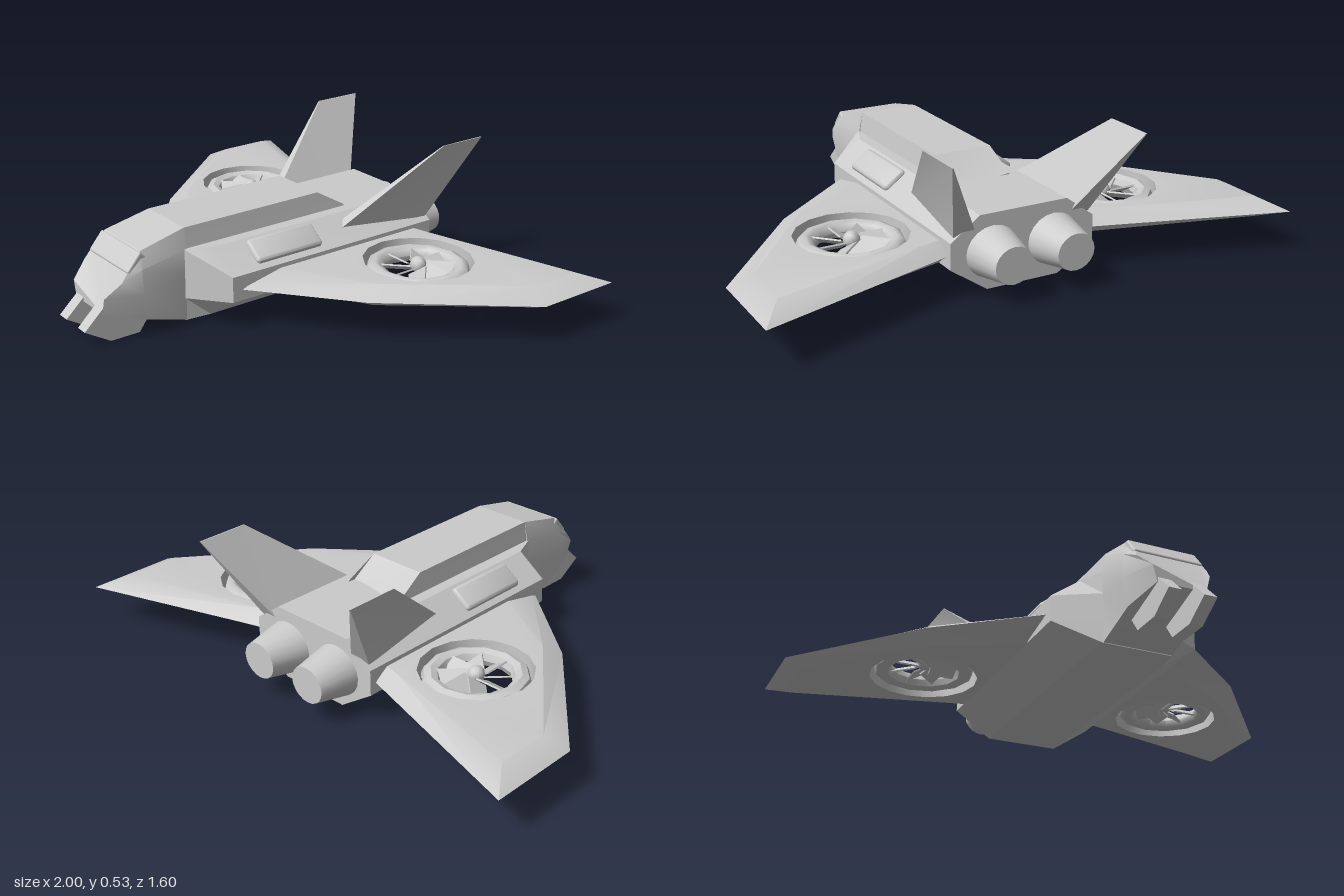
import * as THREE from 'three';
import { mergeGeometries, toCreasedNormals } from 'three/addons/utils/BufferGeometryUtils.js';
import { RoundedBoxGeometry } from 'three/addons/geometries/RoundedBoxGeometry.js';

const material = new THREE.MeshStandardMaterial({ color: 0xcccccc });

// Skin through rings of [x, y, z] points, with optional end caps
function loft(rings, capped = true) {
  const n = rings[0].length, index = [], last = (rings.length - 1) * n;
  for (let i = 0; i < rings.length - 1; i++) {
    for (let j = 0; j < n; j++) {
      const a = i * n + j, b = i * n + (j + 1) % n;
      index.push(a, b, b + n, a, b + n, a + n);
    }
  }
  if (capped) for (let j = 1; j < n - 1; j++) index.push(0, j + 1, j, last, last + j, last + j + 1);
  const geo = new THREE.BufferGeometry();
  geo.setAttribute('position', new THREE.Float32BufferAttribute(rings.flat(2), 3));
  geo.setIndex(index);
  return geo;
}

// Complete a half section, listed from bottom to top, with its mirror image
const section = half => [...half, ...half.map(([x, y, z]) => [-x, y, z]).reverse()];

// Keep positions only and recompute normals with sharp creases
function finish(geo, crease = 0.5) {
  const flat = geo.index ? geo.toNonIndexed() : geo.clone();
  flat.deleteAttribute('uv');
  flat.deleteAttribute('normal');
  return toCreasedNormals(flat, crease);
}

// Reflect across x = 0, reversing the corner order
function mirror(geo) {
  const out = geo.clone().scale(-1, 1, 1), p = out.attributes.position;
  const a = new THREE.Vector3(), b = new THREE.Vector3();
  for (let i = 0; i < p.count; i += 3) {
    a.fromBufferAttribute(p, i + 1);
    b.fromBufferAttribute(p, i + 2);
    p.setXYZ(i + 1, b.x, b.y, b.z);
    p.setXYZ(i + 2, a.x, a.y, a.z);
  }
  return finish(out);
}

function bodyGeometry() {
  const hull = z => section([[0.14, 0.015, z], [0.28, 0.11, z], [0.28, 0.205, z], [0.17, 0.285, z]]);
  const front = section([0.015, 0.1, 0.2, 0.285].map(y => [0.13, y, 0.42]));
  return loft([hull(-0.6), hull(0.32), front]);
}

function noseGeometry() {
  return loft([
    section([[0.13, 0.015, 0.41], [0.13, 0.19, 0.41], [0.13, 0.285, 0.41], [0.115, 0.36, 0.41]]),
    section([[0.13, 0.07, 0.6], [0.15, 0.17, 0.6], [0.145, 0.26, 0.6], [0.12, 0.32, 0.59]]),
    section([[0.09, 0.11, 0.73], [0.105, 0.17, 0.73], [0.13, 0.225, 0.67], [0.125, 0.265, 0.64]]),
  ]);
}

function spineGeometry() {
  const rib = (z, y, zLow = z) => section([[0.13, 0.26, zLow], [0.125, 0.29, zLow], [0.115, y, z]]);
  return loft([rib(-0.18, 0.36, -0.3), rib(0.41, 0.36)]);
}

const fan = { x: 0.51, z: -0.33, hole: 0.2 };

// Wing with thin edges, a flat middle and a round duct opening
function wingGeometry() {
  const edge = [[0.2, 0.345], [0.62, 0], [1, -0.46], [1, -0.8], [0.36, -0.6], [0.2, -0.55]];
  const inset = [[0.2, 0.16], [0.58, -0.06], [0.92, -0.49], [0.92, -0.69], [0.36, -0.54], [0.2, -0.5]];
  const hole = Array.from({ length: 16 }, (_, i) => {
    const a = i / 16 * Math.PI * 2;
    return [fan.x + fan.hole * Math.cos(a), fan.z + fan.hole * Math.sin(a)];
  });
  const at = (points, y) => points.map(([x, z]) => [x, y, z]);
  const face = (sign, y) => {
    const flat = points => points.map(([x, z]) => new THREE.Vector2(x, -sign * z));
    const shape = new THREE.Shape(flat(inset));
    shape.holes.push(new THREE.Path(flat(hole)));
    return new THREE.ShapeGeometry(shape).rotateX(-sign * Math.PI / 2).translate(0, y, 0);
  };
  const parts = [
    face(1, 0.19), face(-1, 0.11),
    loft([at(inset, 0.11), at(edge, 0.15), at(inset, 0.19)], false),
    loft([at(hole, 0.11), at(hole, 0.19)], false),
  ];
  return mergeGeometries(parts.map(part => finish(part)));
}

function finGeometry() {
  return loft([
    [[0.165, 0.22, -0.18], [0.21, 0.22, -0.18], [0.265, 0.22, -0.59], [0.18, 0.22, -0.59]],
    [[0.362, 0.53, -0.57], [0.366, 0.53, -0.57], [0.367, 0.53, -0.765], [0.363, 0.53, -0.765]],
  ]);
}

function gunGeometry() {
  const side = [[0.8, 0.06], [0.71, 0.145], [0.58, 0.13], [0.54, 0.06], [0.585, 0], [0.7, 0]];
  const shape = new THREE.Shape(side.map(([z, y]) => new THREE.Vector2(z, y)).reverse());
  return new THREE.ExtrudeGeometry(shape, { depth: 0.048, bevelEnabled: false })
    .rotateY(-Math.PI / 2).translate(0.088, 0, 0);
}

// Pitched blades around the hub
function bladesGeometry() {
  const blades = [];
  for (let i = 0; i < 8; i++) {
    blades.push(new THREE.BoxGeometry(0.115, 0.006, 0.07)
      .rotateX(0.55).translate(0.083, 0, 0).rotateY(i * Math.PI / 4));
  }
  return mergeGeometries(blades).translate(fan.x, 0.155, fan.z);
}

export function createModel() {
  const model = new THREE.Group();
  const add = (name, geo) => {
    const mesh = new THREE.Mesh(geo, material);
    mesh.name = name;
    model.add(mesh);
  };
  const addPair = (name, geo, crease) => {
    const left = finish(geo, crease);
    add(name + 'Left', left);
    add(name + 'Right', mirror(left));
  };

  // Fuselage
  add('body', finish(bodyGeometry()));
  add('nose', finish(noseGeometry()));
  add('spine', finish(spineGeometry()));
  add('visor', new RoundedBoxGeometry(0.26, 0.085, 0.035, 2, 0.008)
    .rotateX(-0.7).translate(0, 0.277, 0.612));
  addPair('shoulderPod', new RoundedBoxGeometry(0.1, 0.032, 0.29, 3, 0.015)
    .rotateZ(-0.63).translate(0.222, 0.25, 0.055));

  // Flying surfaces
  addPair('wing', wingGeometry());
  addPair('tailFin', finGeometry());

  // Lift fans
  addPair('fanRing', new THREE.TorusGeometry(0.157, 0.033, 8, 12)
    .rotateX(Math.PI / 2).translate(fan.x, 0.15, fan.z), 0.9);
  addPair('fanHub', new THREE.SphereGeometry(0.03, 12, 8).translate(fan.x, 0.17, fan.z), 0.9);
  addPair('fanBlades', bladesGeometry());

  // Engines and guns
  addPair('engine', new THREE.CylinderGeometry(0.105, 0.072, 0.16, 20)
    .rotateX(Math.PI / 2).scale(1, 0.92, 1).translate(0.12, 0.148, -0.66));
  addPair('gun', gunGeometry());
  return model;
}
